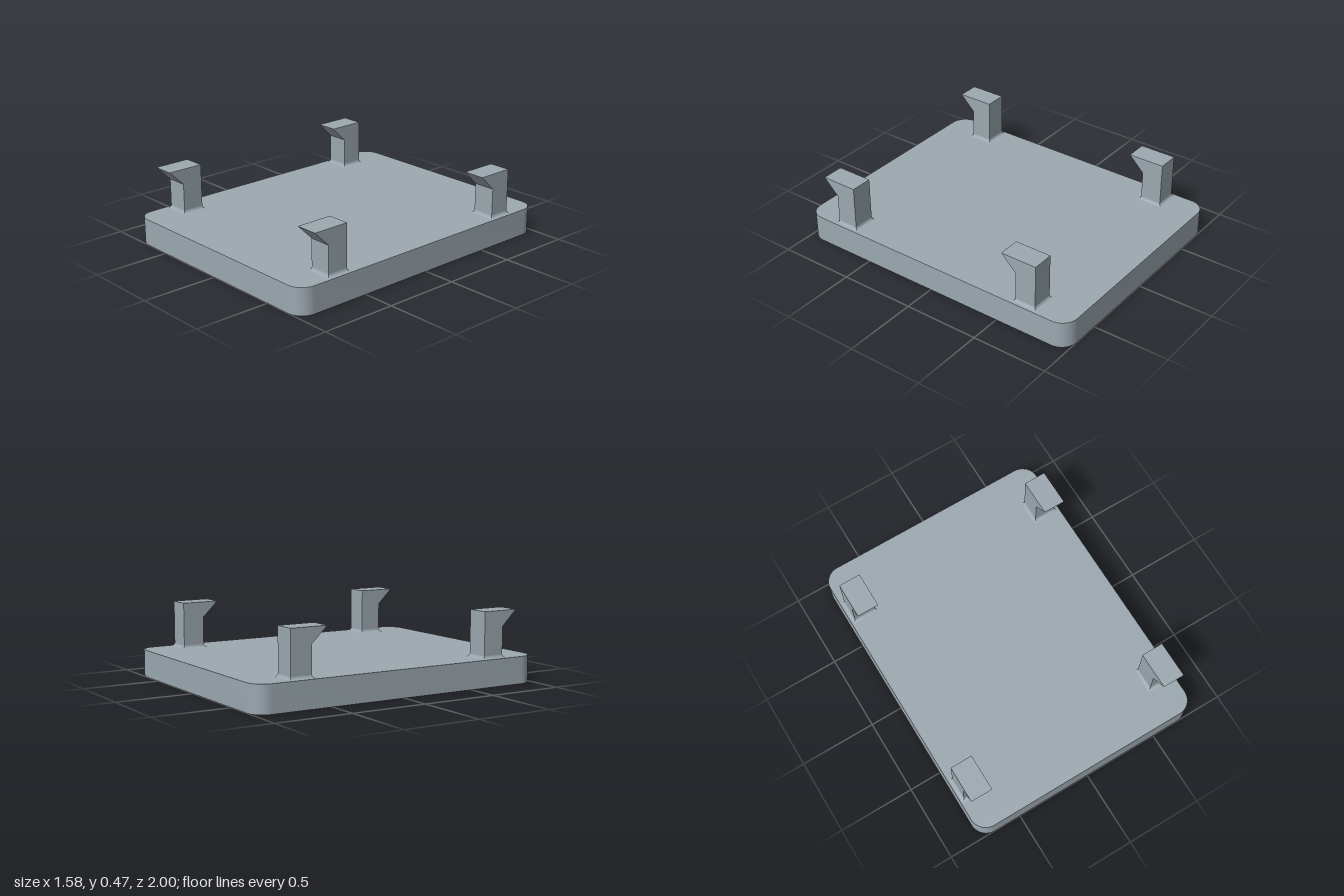
import * as THREE from 'three';
import { mergeGeometries, toCreasedNormals } from 'three/addons/utils/BufferGeometryUtils.js';

const PLATE = { x: 0.79, z: 1, top: 0.174, radius: 0.106 };
const HOLE = { z: 0.51, radius: 0.052, depth: 0.12 };
const STEM = { width: 0.145, depth: 0.14, top: 0.47, barbY: 0.37, barb: 0.102, fillet: 0.02 };

function roundedRect(hx, hy, r) {
  const s = new THREE.Shape();
  s.absarc(hx - r, hy - r, r, 0, Math.PI / 2);
  s.absarc(-hx + r, hy - r, r, Math.PI / 2, Math.PI);
  s.absarc(-hx + r, -hy + r, r, Math.PI, Math.PI * 1.5);
  s.absarc(hx - r, -hy + r, r, Math.PI * 1.5, Math.PI * 2);
  s.closePath();
  return s;
}

// Rounded slab with two blind holes in its underside
function plateGeometry() {
  const outline = roundedRect(PLATE.x, PLATE.z, PLATE.radius);
  const solid = new THREE.ExtrudeGeometry(outline, { depth: PLATE.top, bevelEnabled: false, curveSegments: 16 });
  const sides = solid.groups[1];
  const rim = new THREE.BufferGeometry();
  for (const [name, attr] of Object.entries(solid.attributes)) {
    const n = attr.itemSize;
    const part = attr.array.slice(sides.start * n, (sides.start + sides.count) * n);
    rim.setAttribute(name, new THREE.BufferAttribute(part, n));
  }
  rim.rotateX(-Math.PI / 2);

  const top = new THREE.ShapeGeometry(outline, 16).rotateX(-Math.PI / 2).translate(0, PLATE.top, 0);

  const drilled = roundedRect(PLATE.x, PLATE.z, PLATE.radius);
  const pockets = [];
  for (const side of [-1, 1]) {
    drilled.holes.push(new THREE.Path().absarc(0, side * HOLE.z, HOLE.radius, 0, Math.PI * 2, true));
    const profile = [[0, HOLE.depth], [HOLE.radius, HOLE.depth], [HOLE.radius, 0]];
    pockets.push(new THREE.LatheGeometry(profile.map(p => new THREE.Vector2(...p)), 32)
      .translate(0, 0, side * HOLE.z));
  }
  const bottom = new THREE.ShapeGeometry(drilled, 16).rotateX(Math.PI / 2);

  return mergeGeometries([rim, top, bottom, ...pockets].map(g => toCreasedNormals(g, 0.6)));
}

// Upright post with a barb pointing forward
function hookGeometry() {
  const d = STEM.depth / 2;
  const profile = new THREE.Shape([
    [-d, PLATE.top], [d, PLATE.top], [d, STEM.barbY], [d + STEM.barb, STEM.top], [-d, STEM.top],
  ].map(p => new THREE.Vector2(...p)));
  return new THREE.ExtrudeGeometry(profile, { depth: STEM.width, bevelEnabled: false })
    .rotateY(-Math.PI / 2).translate(STEM.width / 2, 0, 0);
}

// Concave mitred flare around the foot of a post
function filletGeometry() {
  const flare = STEM.fillet / (STEM.depth / 2);
  const points = [];
  for (let i = 0; i <= 6; i++) {
    const t = (i / 6) * Math.PI / 2;
    points.push(new THREE.Vector2(
      Math.SQRT2 * (1 + flare * (1 - Math.sin(t))),
      STEM.fillet * (1 - Math.cos(t)),
    ));
  }
  const g = new THREE.LatheGeometry(points, 4, Math.PI / 4)
    .scale(STEM.width / 2, 1, STEM.depth / 2).translate(0, PLATE.top, 0);
  return toCreasedNormals(g, 0.6);
}

export function createModel() {
  const model = new THREE.Group();
  model.name = 'clipPlate';
  const grey = new THREE.MeshStandardMaterial({ color: 0x9ca8b0 });
  grey.name = 'blueGrey';

  function add(parent, name, geometry) {
    const mesh = new THREE.Mesh(geometry, grey);
    mesh.name = name;
    parent.add(mesh);
  }

  add(model, 'basePlate', plateGeometry());

  // Four clips, all facing forward
  const hook = hookGeometry();
  const fillet = filletGeometry();
  for (const [end, z] of [['front', 0.691], ['back', -0.688]]) {
    for (const [side, x] of [['Left', 0.687], ['Right', -0.687]]) {
      const clip = new THREE.Group();
      clip.name = `${end}${side}Clip`;
      clip.position.set(x, 0, z);
      add(clip, 'hook', hook);
      add(clip, 'footFillet', fillet);
      model.add(clip);
    }
  }
  return model;
}
